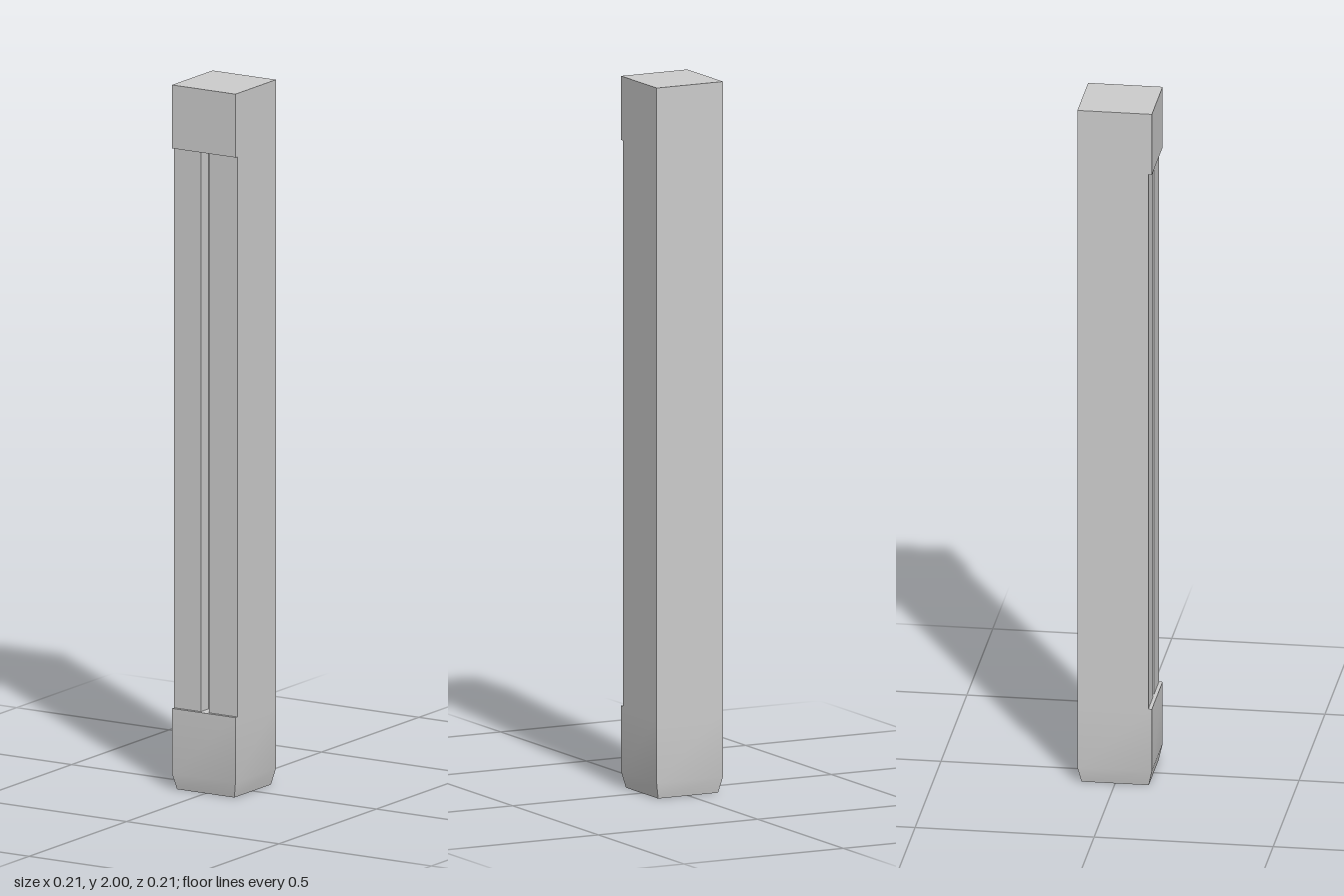
import * as THREE from 'three';
import { toCreasedNormals } from 'three/addons/utils/BufferGeometryUtils.js';

const HALF = 0.104;       // half width of the square post
const FOOT_TOP = 0.23;
const HEAD_BOTTOM = 1.82;
const TAPER_TOP = 0.045;  // height where the foot starts to narrow
const TAPER_HALF = 0.094;
const FACE_Z = 0.094;     // recessed front face between foot and head
const GROOVE = { left: -0.016, right: 0.011, floor: 0.055 };

export function createModel() {
  const group = new THREE.Group();
  group.name = 'post';
  const material = new THREE.MeshStandardMaterial({ color: 0xcccccc });

  const add = (name, geometry) => {
    const mesh = new THREE.Mesh(geometry, material);
    mesh.name = name;
    group.add(mesh);
  };

  // Foot: a box with one extra ring, narrowed towards the ground
  const foot = new THREE.BoxGeometry(2 * HALF, FOOT_TOP, 2 * HALF, 1, 2, 1);
  foot.translate(0, FOOT_TOP / 2, 0);
  const p = foot.attributes.position;
  for (let i = 0; i < p.count; i++) {
    const y = p.getY(i);
    if (y < 0.001) {
      const s = TAPER_HALF / HALF;
      p.setXYZ(i, p.getX(i) * s, 0, p.getZ(i) * s);
    } else if (y < FOOT_TOP - 0.001) {
      p.setY(i, TAPER_TOP);
    }
  }
  add('foot', toCreasedNormals(foot, Math.PI / 6));

  // Shaft: set-back front with a vertical groove (shape y is -z)
  const section = new THREE.Shape([
    [-HALF, -FACE_Z], [GROOVE.left, -FACE_Z], [GROOVE.left, -GROOVE.floor],
    [GROOVE.right, -GROOVE.floor], [GROOVE.right, -FACE_Z], [HALF, -FACE_Z],
    [HALF, HALF], [-HALF, HALF],
  ].map(([x, y]) => new THREE.Vector2(x, y)));
  const shaft = new THREE.ExtrudeGeometry(section, {
    depth: HEAD_BOTTOM - FOOT_TOP, bevelEnabled: false,
  });
  shaft.rotateX(-Math.PI / 2);
  shaft.translate(0, FOOT_TOP, 0);
  add('groovedShaft', shaft);

  // Head block
  const head = new THREE.BoxGeometry(2 * HALF, 2 - HEAD_BOTTOM, 2 * HALF);
  head.translate(0, (2 + HEAD_BOTTOM) / 2, 0);
  add('head', head);

  return group;
}
